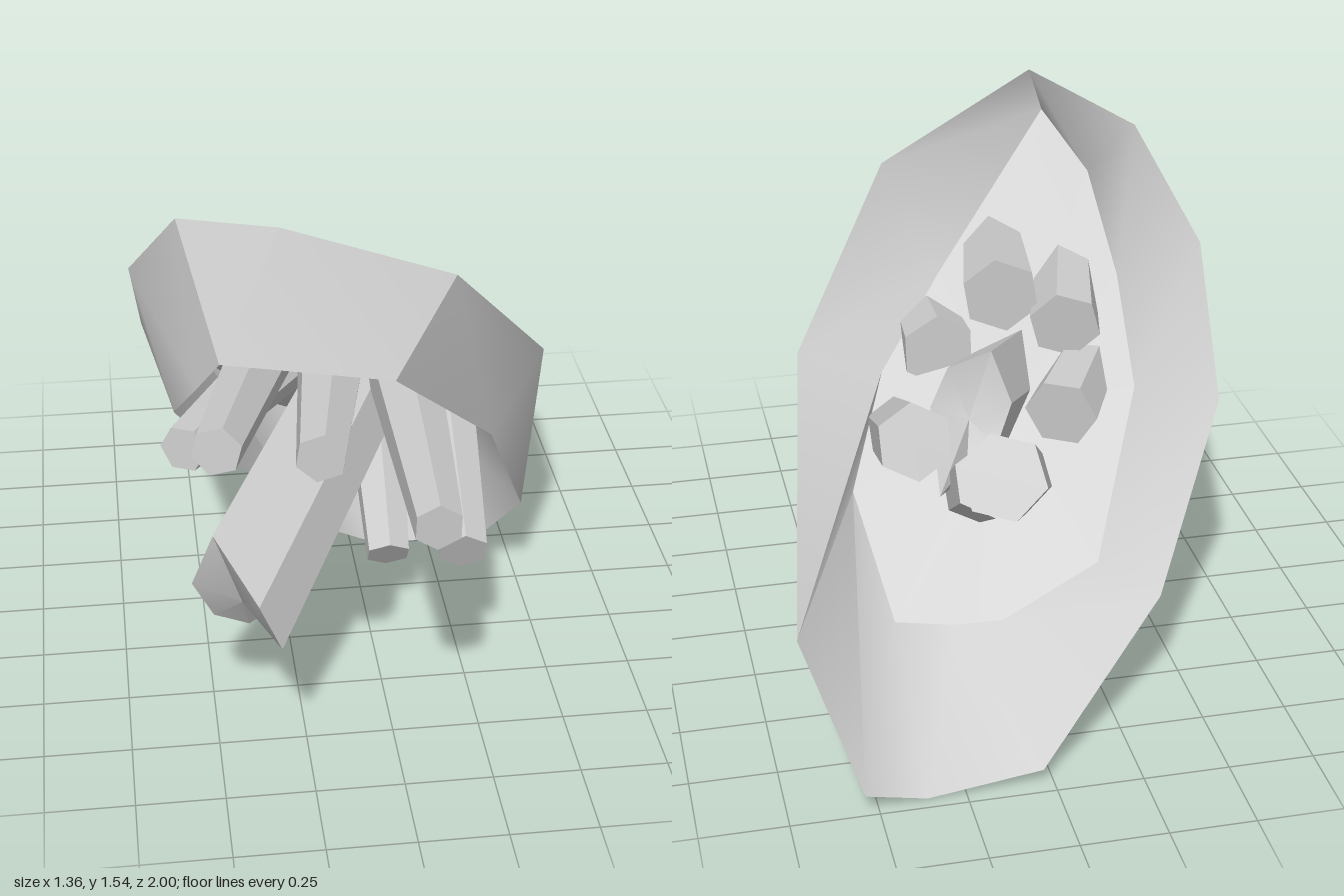
import * as THREE from 'three';
import { toCreasedNormals } from 'three/addons/utils/BufferGeometryUtils.js';

const smooth = new THREE.MeshStandardMaterial({ color: 0xcccccc, side: THREE.DoubleSide });
const faceted = new THREE.MeshStandardMaterial({ color: 0xcccccc, flatShading: true });

// Matching loops of the shell, starting at the top and running round by -x
const backRim = [
  [-0.29, 1.55, 0.615], [-0.55, 1.455, 0.31], [-0.68, 1.175, 0.02], [-0.645, 0.82, -0.33],
  [-0.38, 0.39, -0.675], [0.03, 0.05, -0.96], [0.36, 0.005, -0.96], [0.54, 0.07, -1],
  [0.675, 0.41, -0.715], [0.535, 0.885, 0.12], [0.205, 1.325, 0.49],
];
const frontRim = [
  [-0.48, 1.36, 1], [-0.535, 1.24, 0.9], [-0.59, 1.125, 0.8], [-0.575, 0.86, 0.33],
  [-0.16, 0.29, 0.06], [0.06, 0.115, -0.08], [0.25, 0.115, -0.08], [0.39, 0.115, -0.08],
  [0.49, 0.335, 0.09], [0.33, 0.765, 0.4], [-0.02, 1.225, 0.89],
];
// The floor lies in one slanted plane
const floorLoop = [
  [-0.35, 1.39], [-0.45, 1.25], [-0.47, 1.02], [-0.45, 0.78], [-0.24, 0.42], [0.05, 0.285],
  [0.2, 0.285], [0.36, 0.285], [0.42, 0.54], [0.28, 0.79], [0.06, 1.01],
].map(([x, y]) => [x, y, Math.max(-0.54, 1.26 * y + 0.31 * x - 0.956)]);

// Slanted end of the large crystal, and its smaller back end
const largeFront = [
  [-0.5, 0.71, 0.76], [-0.56, 0.535, 0.72], [-0.5, 0.4, 0.68], [-0.4, 0.355, 0.67],
  [-0.28, 0.33, 0.52], [-0.33, 0.44, 0.93], [-0.39, 0.58, 0.93],
];
const largeBack = largeFront.map(([x, y, z]) => [
  0.08 + (x + 0.42) * 0.9, 0.77 + (y - 0.48) * 0.9, -0.2 + (z - 0.74) * 0.9,
]);

function meshFrom(name, points, index, crease) {
  const g = new THREE.BufferGeometry();
  g.setAttribute('position', new THREE.Float32BufferAttribute(points.flat(), 3));
  g.setIndex(index);
  const mesh = new THREE.Mesh(toCreasedNormals(g, crease), smooth);
  mesh.name = name;
  return mesh;
}

// Closed band of quads from loop a to loop b
function band(name, a, b, crease) {
  const n = a.length, index = [];
  for (let i = 0; i < n; i++) {
    const j = (i + 1) % n;
    index.push(i, j, n + j, i, n + j, n + i);
  }
  return meshFrom(name, [...a, ...b], index, crease);
}

// Fan from the middle of a loop
function fan(name, loop) {
  const n = loop.length, index = [];
  const mid = [0, 1, 2].map(k => loop.reduce((s, p) => s + p[k], 0) / n);
  for (let i = 0; i < n; i++) index.push(n, i, (i + 1) % n);
  return meshFrom(name, [...loop, mid], index, 0.9);
}

// Six-sided crystal between two points, with a radius at each end
function crystal(name, from, to, r0, r1) {
  const a = new THREE.Vector3(...from), b = new THREE.Vector3(...to);
  const mesh = new THREE.Mesh(new THREE.CylinderGeometry(r1, r0, a.distanceTo(b), 6), faceted);
  mesh.position.copy(a).add(b).multiplyScalar(0.5);
  mesh.quaternion.setFromUnitVectors(new THREE.Vector3(0, 1, 0), b.sub(a).normalize());
  mesh.name = name;
  return mesh;
}

export function createModel() {
  const model = new THREE.Group();
  model.name = 'crystalCluster';

  // Hollow rock shell with a floor across its middle
  const shell = new THREE.Group();
  shell.name = 'shell';
  shell.add(
    band('outerWall', frontRim, backRim, 0.7),
    band('frontHollow', floorLoop, frontRim, 0.9),
    band('backHollow', backRim, floorLoop, 0.9),
    fan('floor', floorLoop),
  );

  // Large crystal with a slanted end
  const large = new THREE.Group();
  large.name = 'largeCrystal';
  large.add(
    band('largeCrystalSides', largeFront, largeBack, 0.4),
    fan('largeCrystalTip', largeFront),
    fan('largeCrystalBase', largeBack),
  );

  // Small crystals run from a front tip through the floor to the back
  const crystals = new THREE.Group();
  crystals.name = 'smallCrystals';
  crystals.add(
    crystal('upperRightCrystal', [-0.49, 1.06, 0.91], [-0.26, 0.95, 0.0], 0.07, 0.11),
    crystal('upperMiddleCrystal', [-0.225, 1.06, 0.98], [-0.08, 1.03, 0.08], 0.07, 0.12),
    crystal('middleCrystal', [0.085, 0.83, 0.985], [0.11, 0.86, 0.09], 0.07, 0.115),
    crystal('sideCrystal', [-0.56, 0.82, 0.47], [-0.2, 0.76, -0.2], 0.07, 0.11),
    crystal('lowerRightCrystal', [-0.25, 0.29, 0.25], [0.05, 0.75, -0.53], 0.06, 0.13),
    crystal('lowerMiddleCrystal', [0.06, 0.25, 0.2], [0.08, 0.73, -0.5], 0.07, 0.11),
    crystal('lowerLeftCrystal', [0.235, 0.45, 0.52], [0.27, 0.8, -0.36], 0.075, 0.115),
  );

  model.add(shell, large, crystals);
  return model;
}
